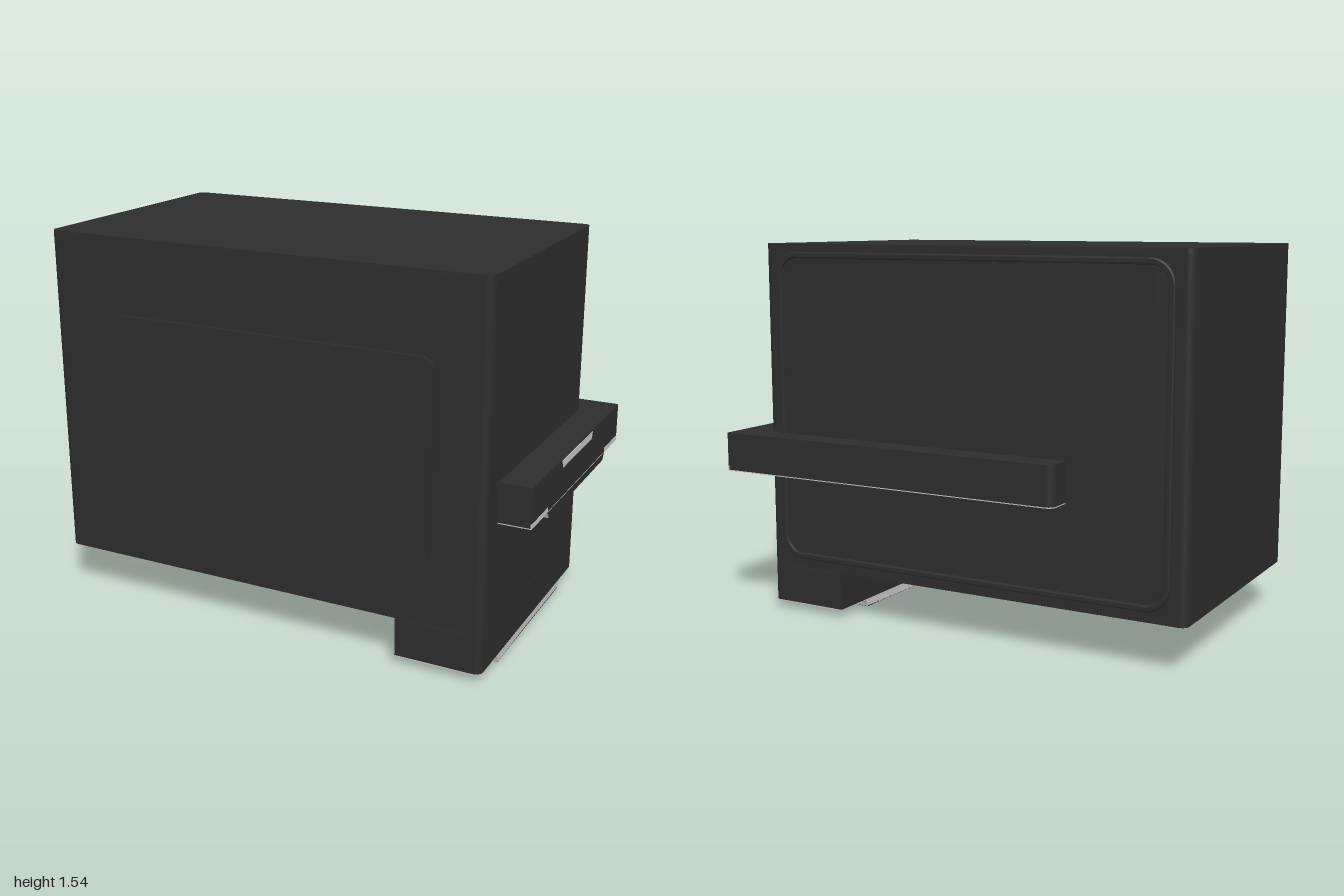
import * as THREE from 'three';

const dark = new THREE.MeshStandardMaterial({ color: 0x2d2d2d });
dark.name = 'charcoal';
const light = new THREE.MeshStandardMaterial({ color: 0xc8c8c8 });
light.name = 'light grey';

// Rectangle path with one radius per corner: bottom left, bottom right, top right, top left
function roundRect(path, x0, y0, x1, y1, [bl, br, tr, tl]) {
  path.moveTo(x0 + bl, y0);
  path.lineTo(x1 - br, y0);
  if (br) path.absarc(x1 - br, y0 + br, br, -Math.PI / 2, 0, false);
  path.lineTo(x1, y1 - tr);
  if (tr) path.absarc(x1 - tr, y1 - tr, tr, 0, Math.PI / 2, false);
  path.lineTo(x0 + tl, y1);
  if (tl) path.absarc(x0 + tl, y1 - tl, tl, Math.PI / 2, Math.PI, false);
  path.lineTo(x0, y0 + bl);
  if (bl) path.absarc(x0 + bl, y0 + bl, bl, Math.PI, Math.PI * 1.5, false);
  return path;
}

export function createModel() {
  const model = new THREE.Group();

  function add(name, geometry, material, x = 0, y = 0, z = 0, parent = model) {
    const mesh = new THREE.Mesh(geometry, material);
    mesh.name = name;
    mesh.position.set(x, y, z);
    parent.add(mesh);
    return mesh;
  }
  const extrude = (shape, depth) =>
    new THREE.ExtrudeGeometry(shape, { depth, bevelEnabled: false, curveSegments: 8 });

  // Upright slab with a rounded plan; hole is an optional [x0, z0, x1, z1]
  function slab(name, [x0, z0, x1, z1], y0, y1, radii, material, hole) {
    const shape = roundRect(new THREE.Shape(), x0, -z1, x1, -z0, radii);
    if (hole) {
      const [a, b, c, d] = hole;
      shape.holes.push(roundRect(new THREE.Path(), a, -d, c, -b, [0, 0, 0, 0]));
    }
    const g = extrude(shape, y1 - y0).rotateX(-Math.PI / 2);
    return add(name, g, material, 0, y0, 0);
  }

  // Ridge along x with flared sides, hanging under a slab
  function ridge(name, x0, x1, y0, height, z, half, flare, capMaterial) {
    const s = new THREE.Shape();
    s.moveTo(-half, 0);
    s.lineTo(half, 0);
    s.quadraticCurveTo(half + flare * 0.3, height * 0.9, half + flare, height);
    s.lineTo(-half - flare, height);
    s.quadraticCurveTo(-half - flare * 0.3, height * 0.9, -half, 0);
    const g = extrude(s, x1 - x0).rotateY(Math.PI / 2);
    add(name, g, [capMaterial, light], x0, y0, z);
    add(name + 'Sole', new THREE.BoxGeometry(x1 - x0, 0.004, half * 2), dark,
      (x0 + x1) / 2, y0 + 0.001, z);
  }

  // Case: dark skin over a pale liner, open underneath
  const r = [0.03, 0.03, 0.03, 0.03];
  const plan = [-1, -0.49, 0.87, 0.6];
  const skinHole = [-0.985, -0.475, 0.855, 0.585];
  const cavity = [-0.89, -0.38, 0.76, 0.49];
  slab('caseSkin', plan, 0.19, 1.52, r, dark, skinHole);
  slab('caseTop', plan, 1.52, 1.54, r, dark);
  slab('caseLiner', skinHole, 0.19, 1.44, [0, 0, 0, 0], light, cavity);
  slab('linerCeiling', skinHole, 1.44, 1.515, [0, 0, 0, 0], light);

  // Raised front panel
  const front = roundRect(new THREE.Shape(), -0.74, 0.45, 0.66, 1.23, [0.05, 0.05, 0.05, 0.05]);
  add('frontPanel', extrude(front, 0.015), dark, 0, 0, 0.595);

  // Bevelled back panel with a rounded border
  const c = [0.1, 0.1, 0.1, 0.1];
  const backRect = (P, d) => roundRect(new P(), -0.94 + d, 0.23 + d, 0.81 - d, 1.51 - d, c.map(v => v - d));
  add('backPanel', extrude(backRect(THREE.Shape, 0.03), 0.012), dark, 0, 0, -0.5);
  const border = backRect(THREE.Shape, 0.008);
  border.holes.push(backRect(THREE.Path, 0.022));
  add('backPanelBorder', new THREE.ExtrudeGeometry(border, {
    depth: 0.008, bevelEnabled: true, bevelSize: 0.006, bevelThickness: 0.006, bevelSegments: 2, curveSegments: 8,
  }), dark, 0, 0, -0.499);

  // Shelf running through the case and out at the back and side
  const shelf = [-0.52, -0.61, 1, 0.48];
  slab('shelf', shelf, 0.603, 0.76, [0, 0, 0, 0.03], dark);
  slab('shelfUnderside', shelf, 0.599, 0.603, [0, 0, 0, 0.03], light);
  ridge('shelfRidge', -0.52, 0.999, 0.57, 0.03, -0.07, 0.35, 0.03, dark);
  for (const z of [0.39, -0.52]) {
    add('shelfEdgeStrip', new THREE.BoxGeometry(0.004, 0.02, 0.18), light, 0.999, 0.61, z);
  }
  const tab = new THREE.Shape();
  tab.moveTo(-0.195, 0.03);
  tab.lineTo(-0.18, 0);
  tab.lineTo(0.18, 0);
  tab.lineTo(0.195, 0.03);
  add('shelfTopTab', extrude(tab, 0.004).rotateY(Math.PI / 2), light, 0.998, 0.724, -0.045);

  // Foot
  const foot = [0.52, -0.49, 0.87, 0.6];
  slab('foot', foot, 0.034, 0.188, [0, 0.03, 0.03, 0], dark);
  slab('footUnderside', foot, 0.03, 0.034, [0, 0.03, 0.03, 0], light);
  ridge('footRidge', 0.52, 0.869, 0.001, 0.03, 0.055, 0.36, 0.02, light);
  for (const [x, z] of [[0.77, -0.19], [0.62, -0.19], [0.69, 0.17]]) {
    add('footScrew', new THREE.CylinderGeometry(0.016, 0.016, 0.004, 16), light, x, 0.002, z);
  }

  // Wheel with a small hub on each face
  const wheel = new THREE.Group();
  wheel.name = 'wheel';
  wheel.position.set(-0.69, 0.17, -0.03);
  wheel.rotation.x = Math.PI / 2;
  model.add(wheel);
  add('tyre', new THREE.CylinderGeometry(0.088, 0.088, 0.05, 32), dark, 0, 0, 0, wheel);
  add('hub', new THREE.CylinderGeometry(0.015, 0.015, 0.07, 16), dark, 0, 0, 0, wheel);

  return model;
}
